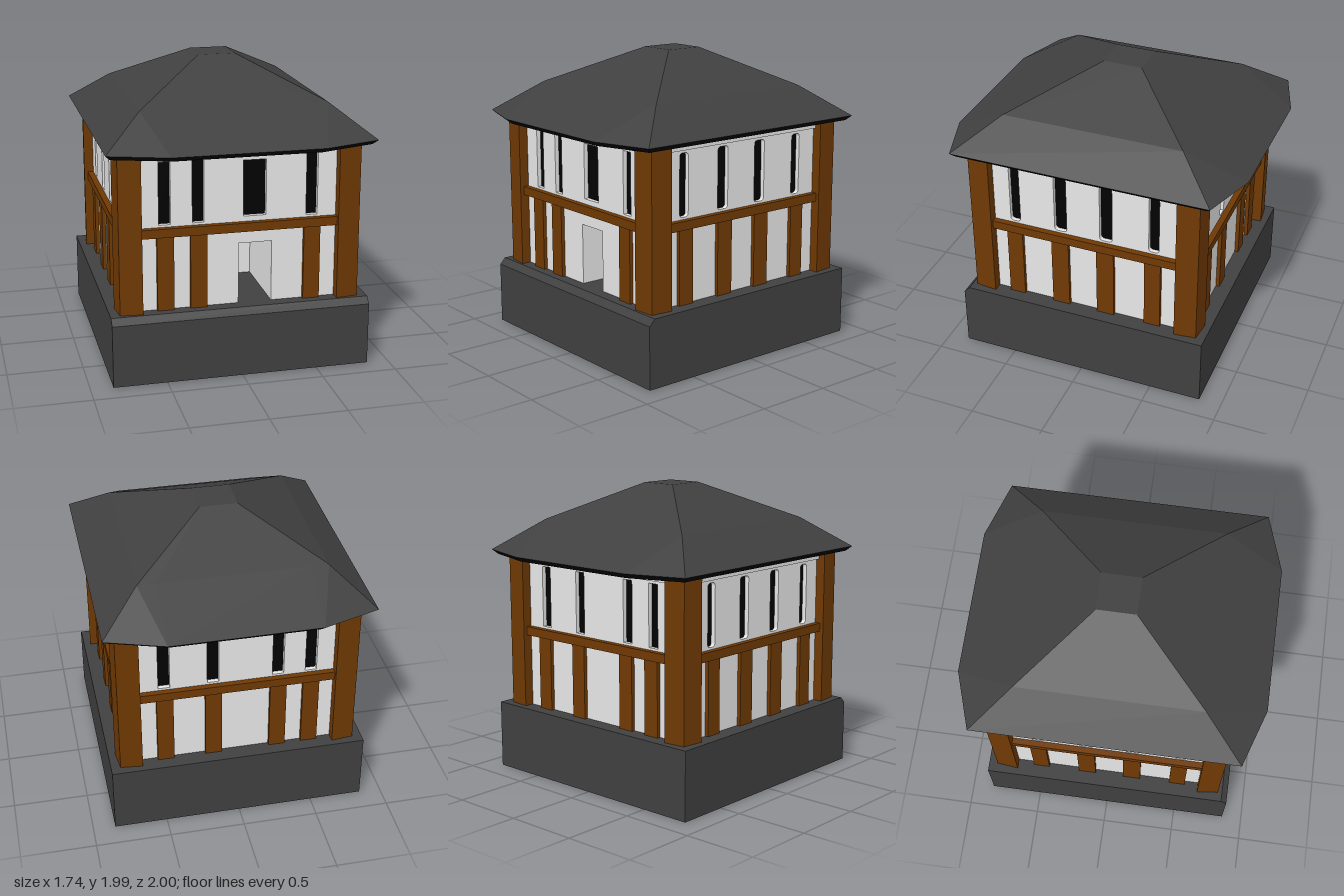
import * as THREE from 'three';

const mat = (name, color) => {
  const m = new THREE.MeshStandardMaterial({ color });
  m.name = name;
  return m;
};

export function createModel() {
  const plaster = mat('plaster', 0xe7e7e7);
  const timber = mat('timber', 0x6f3903);
  const slate = mat('slate', 0x404040);
  const black = mat('black', 0x020202);
  const model = new THREE.Group();

  const add = (parent, name, geometry, material) => {
    const mesh = new THREE.Mesh(geometry, material);
    mesh.name = name;
    parent.add(mesh);
    return mesh;
  };
  // box given by its extents on each axis
  const box = (parent, name, material, x0, x1, y0, y1, z0, z1) =>
    add(parent, name, new THREE.BoxGeometry(x1 - x0, y1 - y0, z1 - z0), material)
      .position.set((x0 + x1) / 2, (y0 + y1) / 2, (z0 + z1) / 2);
  const shapeOf = (points) => new THREE.Shape(points.map(([x, y]) => new THREE.Vector2(x, y)));

  // stone base with a bevel along the front edge
  const profile = shapeOf([[-0.86, 0.003], [0.85, 0.003], [0.85, 0.462], [-0.82, 0.462], [-0.86, 0.42]]);
  const base = new THREE.ExtrudeGeometry(profile, { depth: 1.706, bevelEnabled: false });
  base.translate(0, 0, -0.853).rotateY(Math.PI / 2);
  add(model, 'base', base, slate);

  // dark underside around a central stone panel
  box(model, 'underside', black, -0.848, 0.848, 0.001, 0.004, -0.845, 0.855);
  box(model, 'undersidePanel', slate, -0.46, 0.46, 0, 0.004, -0.46, 0.46);

  // corner posts, their outer edge drawn in a little
  for (const sx of [-1, 1]) for (const sz of [-1, 1]) {
    const section = shapeOf([[0.643, 0.643], [0.806, 0.643], [0.79, 0.79], [0.643, 0.806]]
      .map(([x, z]) => [sx * x, -sz * z]));
    const post = new THREE.ExtrudeGeometry(section, { depth: 1.06, bevelEnabled: false });
    post.rotateX(-Math.PI / 2).translate(0, 0.45, 0);
    add(model, 'cornerPost', post, timber);
  }

  // rectangular hole, optionally with rounded corners
  const opening = (x0, x1, y0, y1, r) => {
    const p = new THREE.Path();
    if (!r) {
      p.moveTo(x0, y0).lineTo(x1, y0).lineTo(x1, y1).lineTo(x0, y1).closePath();
      return p;
    }
    p.moveTo(x0 + r, y0).lineTo(x1 - r, y0).quadraticCurveTo(x1, y0, x1, y0 + r);
    p.lineTo(x1, y1 - r).quadraticCurveTo(x1, y1, x1 - r, y1);
    p.lineTo(x0 + r, y1).quadraticCurveTo(x0, y1, x0, y1 - r);
    p.lineTo(x0, y0 + r).quadraticCurveTo(x0, y0, x0 + r, y0);
    return p;
  };

  // one side of the house, facing local +z; the two middle bays of a round-windowed side are wider
  const addSide = (name, angle, posts, round, hasDoor) => {
    const side = new THREE.Group();
    side.name = name;
    side.rotation.y = angle;
    model.add(side);

    const wall = new THREE.Shape();
    const left = -0.7, right = 0.7;
    wall.moveTo(left, 0.45);
    if (hasDoor) wall.lineTo(-0.005, 0.45).lineTo(-0.005, 0.87).lineTo(0.215, 0.87).lineTo(0.215, 0.45);
    wall.lineTo(right, 0.45).lineTo(right, 1.52).lineTo(left, 1.52).closePath();

    const wide = (x) => round && Math.abs(x) < 0.3;
    const windows = posts.map((x) => {
      const w = wide(x) ? 0.043 : round ? 0.035 : 0.038;
      return [x - w, x + w, 1.03, 1.44];
    });
    if (hasDoor) windows.push([0.025, 0.175, 1.05, 1.42]);
    for (const [x0, x1, y0, y1] of windows) {
      wall.holes.push(opening(x0, x1, y0, y1, round ? 0.025 : 0));
      box(side, 'windowPane', black, x0 - 0.01, x1 + 0.01, y0 - 0.01, y1 + 0.01, 0.7, 0.709);
    }
    const wallGeometry = new THREE.ExtrudeGeometry(wall, { depth: 0.03, bevelEnabled: false });
    wallGeometry.translate(0, 0, 0.71);
    add(side, 'wall', wallGeometry, plaster);

    // timber framing and the trim under the eaves
    for (const x of posts) {
      const w = wide(x) ? 0.06 : 0.055;
      box(side, 'wallPost', timber, x - w, x + w, 0.45, 0.96, 0.72, 0.765);
    }
    box(side, 'beam', timber, -0.66, 0.66, 0.957, 1.015, 0.72, 0.78);
    box(side, 'eavesTrim', plaster, -0.66, 0.66, 1.46, 1.51, 0.72, 0.76);
    return side;
  };

  const front = addSide('frontSide', 0, [-0.487, -0.27, 0.48], false, true);
  addSide('backSide', Math.PI, [-0.48, -0.16, 0.27, 0.49], false, false);
  addSide('leftSide', Math.PI / 2, [-0.493, -0.17, 0.147, 0.475], true, false);
  addSide('rightSide', -Math.PI / 2, [0.493, 0.17, -0.147, -0.475], true, false);

  // passage behind the door opening
  box(front, 'doorJamb', plaster, -0.025, -0.005, 0.45, 0.88, 0.2, 0.72);
  box(front, 'doorJamb', plaster, 0.215, 0.235, 0.45, 0.88, 0.2, 0.72);
  box(front, 'doorCeiling', plaster, -0.005, 0.215, 0.87, 0.89, 0.2, 0.72);
  box(front, 'doorBack', plaster, -0.025, 0.235, 0.45, 0.89, 0.18, 0.2);

  // roof from eight-point rings: corners (cx, cz) and front/back points (fx, fz)
  const ring = (y, cx, cz, fx, fz, dz = 0) =>
    [[fx, fz], [cx, cz], [cx, -cz], [fx, -fz], [-fx, -fz], [-cx, -cz], [-cx, cz], [-fx, fz]]
      .map(([x, z]) => [x, y, z + dz]);
  const under = ring(1.503, 0.84, 0.845, 0.475, 0.965);
  const eaves = ring(1.535, 0.872, 0.875, 0.49, 1.0);
  const middle = ring(1.74, 0.613, 0.61, 0.49, 0.61);
  const top = ring(1.985, 0.125, 0.13, 0.125, 0.13, -0.02);

  // the split of each quad is mirrored so that both halves of the roof match
  const band = (a, b) => a.flatMap((p, i) => {
    const j = (i + 1) % a.length;
    return i % 4 === 2 ? [p, a[j], b[i], a[j], b[j], b[i]] : [p, a[j], b[j], p, b[j], b[i]];
  });
  const cap = (a) => a.slice(1, -1).flatMap((p, i) => [a[0], p, a[i + 2]]);
  const faceted = (corners) => {
    const g = new THREE.BufferGeometry();
    g.setAttribute('position', new THREE.Float32BufferAttribute(corners.flat(), 3));
    g.computeVertexNormals();
    return g;
  };
  add(model, 'roof', faceted([...band(eaves, middle), ...band(middle, top), ...cap(top)]), slate);
  add(model, 'eavesEdge', faceted(band(under, eaves)), black);
  add(model, 'eavesUnderside', faceted(cap([...under].reverse())), slate);

  return model;
}
